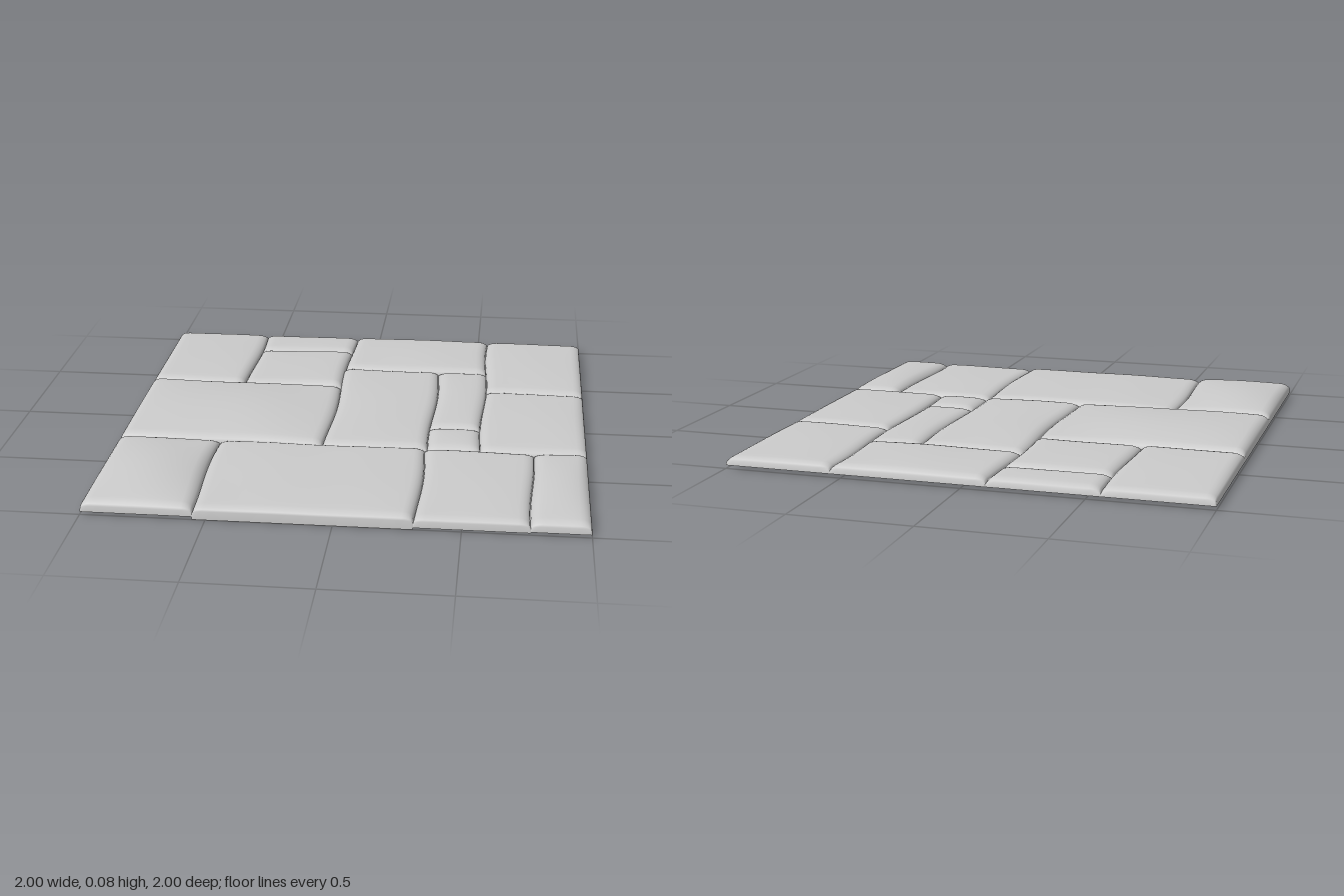
import * as THREE from 'three';

const SEAM = 0.025;   // height of the joints between slabs
const RIM = 0.045;    // width of the rounded slab edge
const INSETS = [0, 0.003, 0.009, 0.018, 0.03, 0.045];

// name, x0, x1, z0, z1, edge height, bulge, slope along x, slope along z, skirt height
const SLABS = [
  ['backLeftCorner', -1, -0.56, -1, -0.34, 0.053, 0.008, 0, 0.003, 0.014],
  ['backShort', -0.56, -0.11, -1, -0.79, 0.050, 0.003, 0, 0, 0.014],
  ['backSquare', -0.56, -0.11, -0.79, -0.34, 0.053, 0.007, 0.002, 0.002, 0.014],
  ['backWide', -0.11, 0.55, -1, -0.57, 0.053, 0.008, 0, 0, 0.014],
  ['backRightCorner', 0.55, 1, -1, -0.34, 0.051, 0.006, 0, 0, 0.014],
  ['sideWide', -1, -0.115, -0.34, 0.325, 0.056, 0.025, -0.004, 0, 0.012],
  ['centreTall', -0.115, 0.33, -0.57, 0.325, 0.052, 0.010, 0, 0, 0.012],
  ['centreNarrow', 0.33, 0.55, -0.57, 0.10, 0.049, 0.006, 0, 0, 0.012],
  ['centreSmall', 0.33, 0.55, 0.10, 0.325, 0.048, 0.005, 0, 0, 0.012],
  ['sideTall', 0.55, 1, -0.34, 0.325, 0.051, 0.008, 0, 0, 0.012],
  ['frontLeftCorner', -1, -0.56, 0.325, 1, 0.056, 0.027, -0.003, 0, 0.012],
  ['frontWide', -0.56, 0.32, 0.325, 1, 0.053, 0.009, 0.002, 0, 0],
  ['frontSquare', 0.32, 0.77, 0.325, 1, 0.050, 0.006, 0, 0, 0.008],
  ['frontRightCorner', 0.77, 1, 0.325, 1, 0.053, 0.015, 0, 0, 0.012],
];

// grid lines across a slab, gathered near both edges
function gridLines(a, b) {
  const n = Math.max(4, Math.round((b - a) / 0.04));
  const lines = INSETS.map((d) => a + d);
  for (let i = 1; i < n; i++) lines.push(a + RIM + ((b - a - 2 * RIM) * i) / n);
  return lines.concat(INSETS.map((d) => b - d).reverse());
}

// quarter-round rise from 0 at the edge to 1 on the slab top
function rise(p, a, b) {
  const t = Math.min(1, Math.min(p - a, b - p) / RIM);
  return Math.sqrt(Math.max(0, 1 - (1 - t) * (1 - t)));
}

// shared hand-cut waviness of the joints, fading out at the outer border
const waveX = (x, z) => 0.008 * Math.sin(7 * z + 3 * x + 2.6) * Math.min(1, 6 * (1 - Math.abs(x)));
const waveZ = (x, z) => 0.005 * Math.sin(8 * x + 2 * z + 1) * Math.min(1, 6 * (1 - Math.abs(z)));

function slab([name, x0, x1, z0, z1, edge, bulge, slopeX, slopeZ, skirt], material) {
  const xs = gridLines(x0, x1);
  const zs = gridLines(z0, z1);
  const geometry = new THREE.PlaneGeometry(1, 1, xs.length - 1, zs.length - 1);
  const pos = geometry.attributes.position;
  for (let i = 0; i < pos.count; i++) {
    const x = xs[i % xs.length];
    const z = zs[Math.floor(i / xs.length)];
    const u = (2 * (x - x0)) / (x1 - x0) - 1;
    const v = (2 * (z - z0)) / (z1 - z0) - 1;
    // worn, slightly domed top
    const top = edge + bulge * (1 - u * u) * (1 - v * v) + slopeX * u + slopeZ * v
      + 0.0015 * Math.sin(9 * x + 4 * z) * Math.sin(7 * z - 5 * x);
    // the outer border drops lower than the inner joints
    const outer = Math.max(Math.abs(x), Math.abs(z)) > 0.9999;
    const y = outer ? skirt : SEAM + (top - SEAM) * rise(x, x0, x1) * rise(z, z0, z1);
    pos.setXYZ(i, x + waveX(x, z), y, z + waveZ(x, z));
  }
  geometry.computeVertexNormals();
  const mesh = new THREE.Mesh(geometry, material);
  mesh.name = name + 'Slab';
  return mesh;
}

export function createModel() {
  const group = new THREE.Group();
  group.name = 'stonePaving';
  // open shell of slabs, seen from both sides
  const material = new THREE.MeshStandardMaterial({ color: 0xcccccc, side: THREE.DoubleSide });
  for (const spec of SLABS) group.add(slab(spec, material));
  return group;
}
